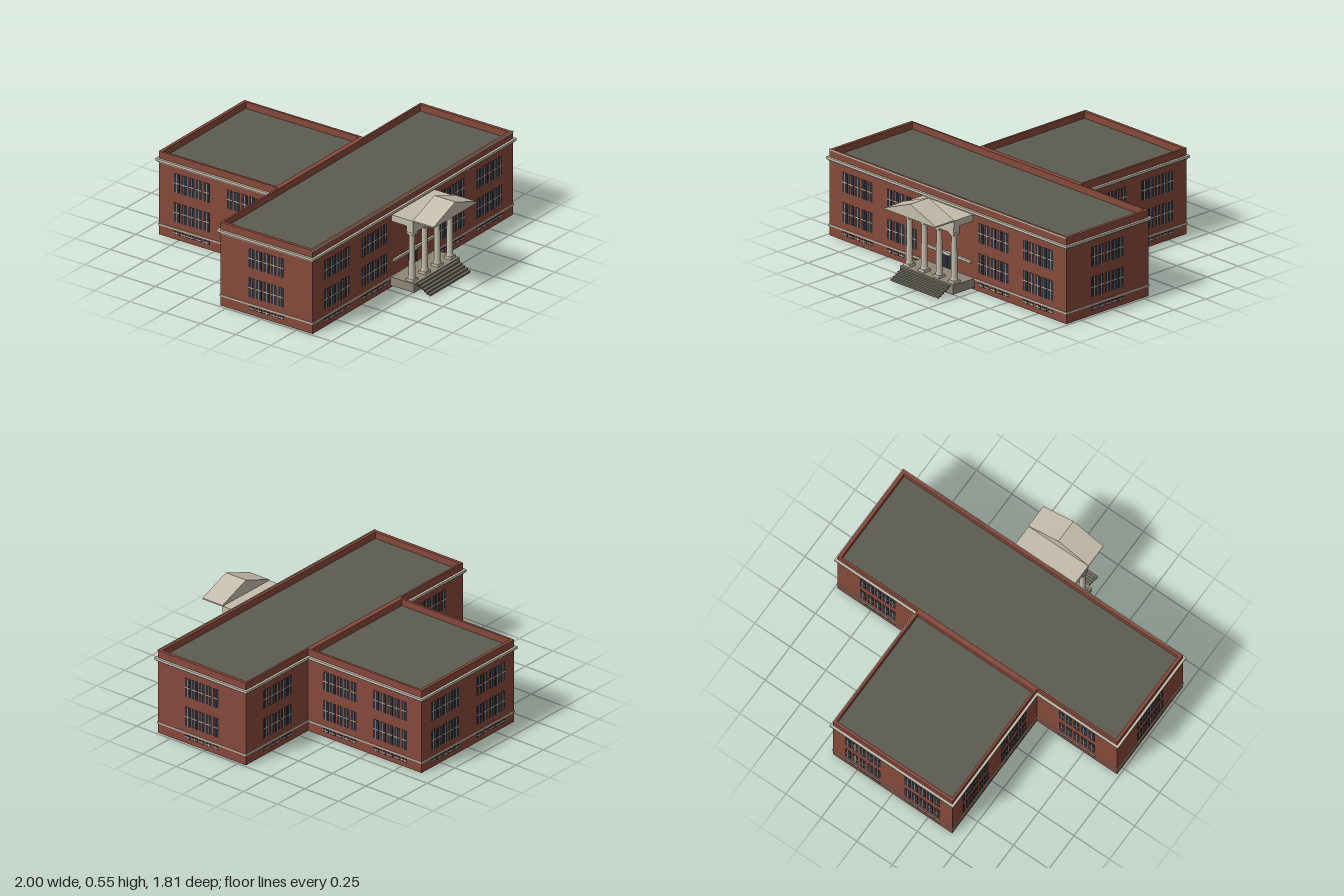
import * as THREE from 'three';
import { mergeGeometries } from 'three/addons/utils/BufferGeometryUtils.js';

const material = (name, color) => {
  const m = new THREE.MeshStandardMaterial({ color });
  m.name = name;
  return m;
};

// Ground plan: a wide main block with a narrower wing behind it
const MAIN_X = 0.985, FRONT = 0.605, BACK = -0.05, WING_X = 0.42, WING_BACK = -0.893;

// T-shaped outline grown outward by d (shape y is -z)
const outline = (d = 0) => {
  const pts = [
    [-MAIN_X - d, -FRONT - d], [MAIN_X + d, -FRONT - d], [MAIN_X + d, -BACK + d], [WING_X + d, -BACK + d],
    [WING_X + d, -WING_BACK + d], [-WING_X - d, -WING_BACK + d], [-WING_X - d, -BACK + d], [-MAIN_X - d, -BACK + d],
  ];
  return pts.map(([x, y]) => new THREE.Vector2(x, y));
};
const rect = (x, z0, z1) => [[-x, -z1], [x, -z1], [x, -z0], [-x, -z0]].map(([a, b]) => new THREE.Vector2(a, b));

// Extrude a plan upward from y0 to y1
function extrudePlan(points, holes, y0, y1) {
  const shape = new THREE.Shape(points);
  holes.forEach((h) => shape.holes.push(new THREE.Path(h)));
  const g = new THREE.ExtrudeGeometry(shape, { depth: y1 - y0, bevelEnabled: false });
  return g.rotateX(-Math.PI / 2).translate(0, y0, 0);
}

// Box given by its limits
const span = (x0, x1, y0, y1, z0, z1) =>
  new THREE.BoxGeometry(x1 - x0, y1 - y0, z1 - z0).translate((x0 + x1) / 2, (y0 + y1) / 2, (z0 + z1) / 2);

export function createModel() {
  const brick = material('brick red', 0x86493b);
  const roofGrey = material('roof grey', 0x5c5b51);
  const trim = material('pale stone', 0xc4bdac);
  const stone = material('dark stone', 0x8f8677);
  const stepGrey = material('step grey', 0x6c6a5d);
  const glass = material('dark glass', 0x2a2d38);

  const model = new THREE.Group();
  model.name = 'building';
  const add = (name, geometry, mat, parent = model) => {
    const mesh = new THREE.Mesh(geometry, mat);
    mesh.name = name;
    parent.add(mesh);
    return mesh;
  };

  // Hollow walls with parapet, open below
  const T = 0.02;
  const mainInside = rect(MAIN_X - T, BACK + 0.012, FRONT - T);
  const wingInside = rect(WING_X - T + 0.006, WING_BACK + T, BACK - T);
  add('walls', extrudePlan(outline(), [mainInside, wingInside], 0, 0.53), brick);

  // Sunken flat roofs
  add('mainRoof', extrudePlan(mainInside, [], 0.475, 0.488), roofGrey);
  add('wingRoof', extrudePlan(wingInside, [], 0.475, 0.488), roofGrey);

  // Stone bands running round the building
  const band = (name, d, y0, y1) => add(name, extrudePlan(outline(d), [outline(-0.002)], y0, y1), trim);
  band('cornice', 0.0145, 0.47, 0.485);
  band('corniceMoulding', 0.006, 0.462, 0.47);
  band('baseBand', 0.004, 0.061, 0.071);
  add('frontCoping', span(-MAIN_X, MAIN_X, 0.525, 0.534, FRONT - 0.003, FRONT + 0.002), trim);

  // One bank: five windows in two storeys, with cellar lights below
  const panes = [], bars = [];
  for (let i = -2; i <= 2; i++) {
    const x = i * 0.0525;
    for (const [y0, y1] of [[0.3, 0.42], [0.112, 0.234], [0.031, 0.053]]) {
      const mid = (y0 + y1) / 2, tall = y1 - y0 > 0.05;
      panes.push(span(x - 0.02, x + 0.02, y0, y1, -0.003, 0.002));
      bars.push(span(x - 0.02, x + 0.02, mid - 0.003, mid + 0.003, 0, 0.004));
      bars.push(span(x - 0.0018, x + 0.0018, y0, y1, 0, tall ? 0.004 : 0.003));
    }
  }
  const paneGeometry = mergeGeometries(panes), barGeometry = mergeGeometries(bars);
  const bank = (x, z, turn) => {
    const group = new THREE.Group();
    group.name = 'windowBank';
    add('panes', paneGeometry, glass, group);
    add('glazingBars', barGeometry, trim, group);
    group.position.set(x, 0, z);
    group.rotation.y = turn;
    model.add(group);
  };
  for (const s of [-1, 1]) {
    bank(s * 0.75, FRONT, 0);
    bank(s * 0.38, FRONT, 0);
    bank(s * MAIN_X, 0.278, s * Math.PI / 2);
    bank(s * 0.7, BACK, Math.PI);
    bank(s * WING_X, -0.285, s * Math.PI / 2);
    bank(s * WING_X, -0.66, s * Math.PI / 2);
    bank(s * 0.21, WING_BACK, Math.PI);
  }

  // Entrance doors with a string course and a central boss
  for (const s of [-1, 1]) {
    const door = add('door', new THREE.BoxGeometry(0.036, 0.085, 0.006), glass);
    door.position.set(s * 0.023, 0.114, FRONT);
  }
  add('stringCourse', span(-0.2, 0.2, 0.159, 0.174, FRONT - 0.002, FRONT + 0.013), trim);
  const boss = add('doorBoss', new THREE.CylinderGeometry(1, 1, 0.016, 24), trim);
  boss.rotation.x = Math.PI / 2;
  boss.scale.set(0.036, 1, 0.011);
  boss.position.set(0, 0.166, FRONT + 0.009);

  // Porch floor and steps
  const porch = new THREE.Group();
  porch.name = 'porch';
  model.add(porch);
  add('porchFloor', span(-0.222, 0.222, 0.015, 0.07, 0.575, 0.775), stone, porch);
  const STEPS = 5;
  for (let i = 0; i < STEPS; i++) {
    const z = 0.775 + i * 0.019, y = 0.062 - i * 0.0105;
    add('stepTread', span(-0.2, 0.2, y - 0.004, y, z - 0.004, z + 0.019), stepGrey, porch);
    add('stepRiser', span(-0.2, 0.2, y - 0.012, y - 0.002, z + 0.015, z + 0.019), stepGrey, porch);
  }

  // Four round columns with square plinths and capitals
  const shaftProfile = [[0.023, 0.085], [0.023, 0.093], [0.0195, 0.1], [0.018, 0.25], [0.0165, 0.355], [0.021, 0.362], [0.021, 0.37]]
    .map(([r, y]) => new THREE.Vector2(r, y));
  const shaft = new THREE.LatheGeometry(shaftProfile, 20);
  for (const x of [-0.186, -0.062, 0.062, 0.186]) {
    const column = new THREE.Group();
    column.name = 'column';
    column.position.set(x, 0, 0.733);
    add('shaft', shaft, trim, column);
    add('plinth', span(-0.025, 0.025, 0.07, 0.086, -0.025, 0.025), trim, column);
    add('capital', span(-0.023, 0.023, 0.368, 0.382, -0.023, 0.023), trim, column);
    porch.add(column);
  }

  // Beam, flat porch roof and the gable set forward of them
  add('beam', span(-0.207, 0.207, 0.38, 0.42, 0.709, 0.757), trim, porch);
  add('porchRoof', span(-0.21, 0.21, 0.419, 0.46, FRONT, 0.758), trim, porch);
  const gable = new THREE.Shape([[-0.212, 0.457], [0.212, 0.457], [0.212, 0.465], [0, 0.545], [-0.212, 0.465]]
    .map(([x, y]) => new THREE.Vector2(x, y)));
  add('gable', new THREE.ExtrudeGeometry(gable, { depth: 0.149, bevelEnabled: false }).translate(0, 0, 0.757), trim, porch);

  return model;
}
